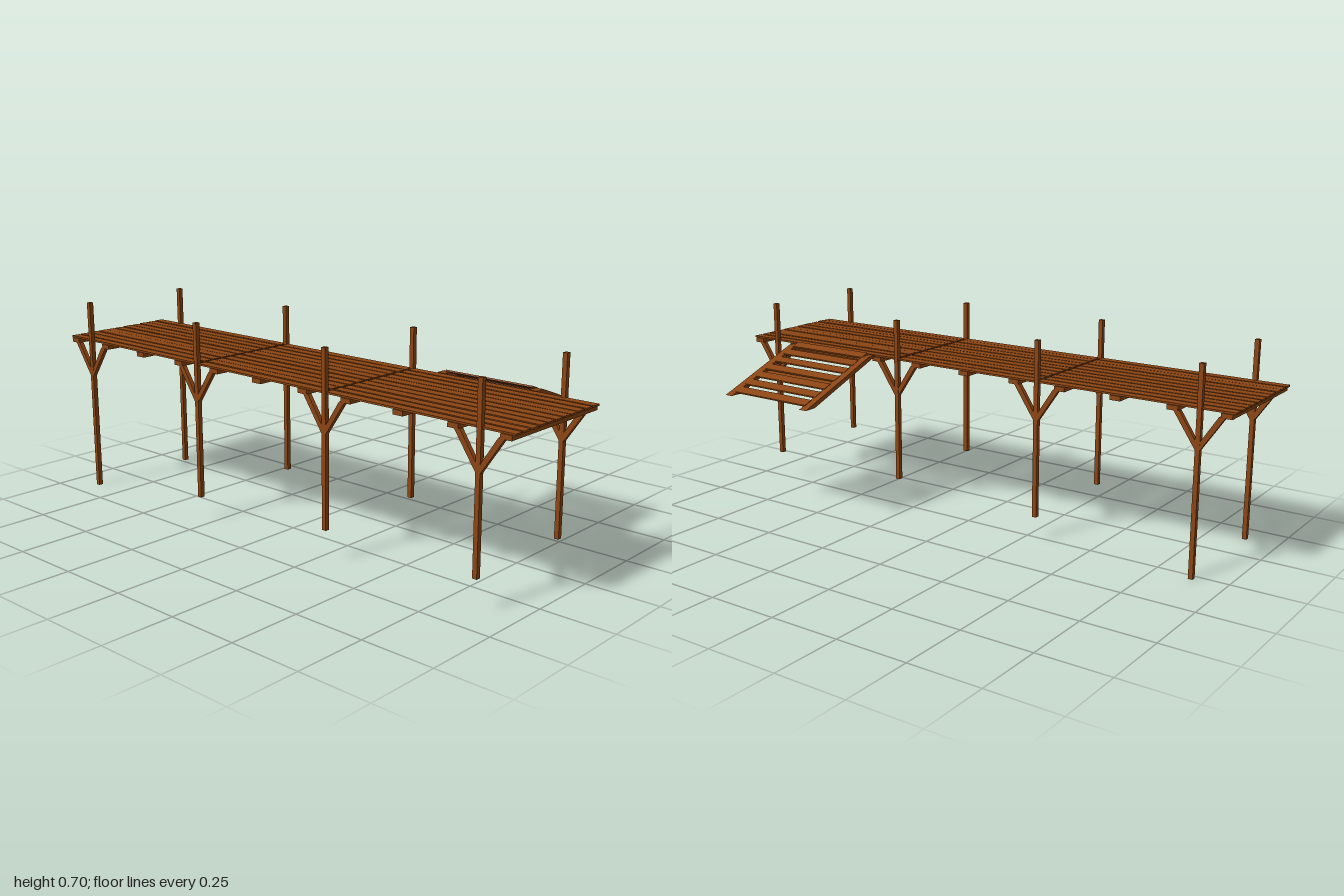
import * as THREE from 'three';

const wood = new THREE.MeshStandardMaterial({ color: 0x8b4513, flatShading: true });

function add(parent, name, geometry, x = 0, y = 0, z = 0) {
  const mesh = new THREE.Mesh(geometry, wood);
  mesh.name = name;
  mesh.position.set(x, y, z);
  parent.add(mesh);
  return mesh;
}

const box = (w, h, d) => new THREE.BoxGeometry(w, h, d);

// Extrudes an outline, centred on its depth
function slab(points, depth) {
  const shape = new THREE.Shape(points.map(([u, v]) => new THREE.Vector2(u, v)));
  return new THREE.ExtrudeGeometry(shape, { depth, bevelEnabled: false }).translate(0, 0, -depth / 2);
}

function seeded(seed) {
  return () => {
    seed = (seed * 16807) % 2147483647;
    return seed / 2147483647 - 0.5;
  };
}

export function createModel() {
  const model = new THREE.Group();
  model.name = 'pier';
  const rand = seeded(4711);
  const left = -0.412, right = 0.032, midX = (left + right) / 2, width = right - left;
  const postSize = 0.016;

  // Posts with a diagonal brace on either side; the seabed drops towards the back
  const braceShape = [[0.004, 0.42], [0.087, 0.542], [0.065, 0.542], [0.004, 0.449]];
  for (const [z, bottom] of [[0.88, 0.11], [0.295, 0.11], [-0.295, 0.085], [-0.88, 0]]) {
    for (const x of [left + postSize / 2, right - postSize / 2]) {
      add(model, 'post', box(postSize, 0.7 - bottom, postSize), x, (0.7 + bottom) / 2, z);
      for (const side of [1, -1]) {
        const brace = add(model, 'brace', slab(braceShape, postSize * 0.95), x, 0, z);
        brace.rotation.y = -side * Math.PI / 2;
      }
    }
  }

  // Cross beams under the deck
  for (const z of [0, 0.205, 0.385, 0.59, 0.79, 0.97]) {
    for (const s of z ? [1, -1] : [1]) {
      add(model, 'crossBeam', box(width, 0.016, 0.038), midX, 0.548, z * s);
    }
  }

  // Deck boards in three lengths, slightly uneven
  const count = 11, pitch = (width - 0.004) / count;
  for (const [z0, z1] of [[-1, -0.297], [-0.291, 0.291], [0.297, 1]]) {
    for (let i = 0; i < count; i++) {
      const edge = i === 0 || i === count - 1;
      const x = left + 0.002 + pitch * (i + 0.5) + (edge ? 0 : rand() * 0.003);
      const board = add(model, 'deckBoard',
        box(0.034 + rand() * 0.003, 0.006, z1 - z0 - 0.003 + rand() * 0.003),
        x, 0.5585 + rand() * 0.0015, (z0 + z1) / 2);
      board.rotation.y = edge ? 0 : rand() * 0.006;
    }
  }

  // Sloping gangway: side rails with level cut ends
  const ramp = new THREE.Group();
  ramp.name = 'gangway';
  model.add(ramp);
  const rail = [[0.034, 0.561], [0.034, 0.558], [0.363, 0.436], [0.408, 0.436], [0.071, 0.561]];
  for (const z of [0.405, 0.76]) add(ramp, 'gangwayRail', slab(rail, 0.03), 0, 0, z);

  // Gangway slats and the two bearers below
  const slope = Math.atan2(0.125, 0.337);
  const railTop = x => 0.561 - (x - 0.071) * Math.tan(slope);
  for (let i = 0; i < 7; i++) {
    const x = 0.063 + i * 0.0505;
    const slat = add(ramp, 'gangwaySlat', box(0.034 + rand() * 0.004, 0.006, 0.335), x, railTop(x) - 0.0015, 0.5825);
    slat.rotation.set(0, rand() * 0.012, -slope);
  }
  for (const x of [0.053, 0.213]) {
    const bearer = add(ramp, 'gangwayBearer', box(0.035, 0.014, 0.355), x, railTop(x) - 0.02, 0.5825);
    bearer.rotation.z = -slope;
  }

  return model;
}
